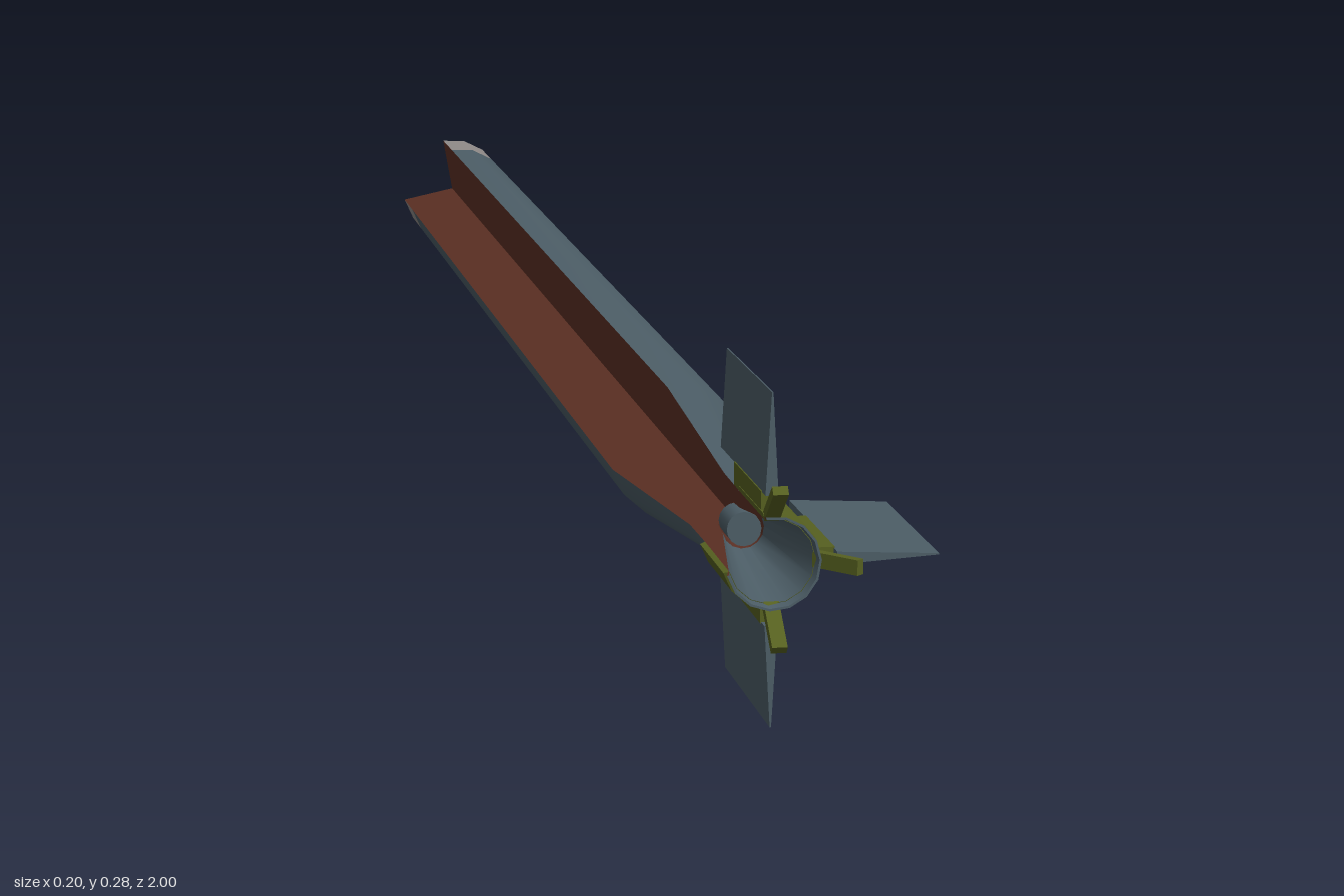
import * as THREE from 'three';
import { toCreasedNormals } from 'three/addons/utils/BufferGeometryUtils.js';

const D = Math.PI / 180;
const START = 192 * D, SWEEP = 268 * D; // solid part; the rest is cut away
const RADIUS = 0.063;

function material(name, color) {
  const m = new THREE.MeshStandardMaterial({ color, side: THREE.DoubleSide });
  m.name = name;
  return m;
}

export function createModel() {
  const slate = material('slate casing', 0x4c5d66);
  const grey = material('grey band', 0x8f8a88);
  const brown = material('brown filling', 0x5c3024);
  const olive = material('olive collar', 0x566020);

  const model = new THREE.Group();
  const motor = new THREE.Group();
  motor.name = 'cutawayMotor';
  motor.position.set(-0.0395, 0.1415, 0);
  model.add(motor);

  const add = (name, geometry, mat, parent = motor) => {
    const mesh = new THREE.Mesh(geometry, mat);
    mesh.name = name;
    parent.add(mesh);
    return mesh;
  };

  // Partial surface of revolution about z from [radius, z] points
  const revolve = (name, points, mat) => {
    const g = new THREE.LatheGeometry(points.map(p => new THREE.Vector2(...p)), 11, START + 90 * D, SWEEP);
    g.rotateX(90 * D);
    return add(name, toCreasedNormals(g, 0.5), mat);
  };

  // Flat section faces on both sides of the cut
  const cutFaces = (name, points, mat) => {
    for (const angle of [START, START + SWEEP]) {
      const g = new THREE.ShapeGeometry(new THREE.Shape(points.map(p => new THREE.Vector2(...p))));
      const pos = g.attributes.position;
      for (let i = 0; i < pos.count; i++) {
        const r = pos.getX(i), z = pos.getY(i);
        pos.setXYZ(i, r * Math.cos(angle), r * Math.sin(angle), z);
      }
      g.computeVertexNormals();
      add(name, g, mat);
    }
  };

  // Casing, rear band and end cap
  revolve('casing', [[RADIUS, -0.92], [RADIUS, 0.56], [0.037, 0.8], [0.036, 0.87]], slate);
  revolve('rearBand', [[RADIUS, -1], [RADIUS, -0.92]], grey);
  const cap = new THREE.CircleGeometry(RADIUS, 11, START, SWEEP);
  cap.rotateY(Math.PI);
  cap.scale(-1, 1, 1);
  const index = cap.index.array; // mirroring reverses the corners
  for (let i = 0; i < index.length; i += 3) [index[i], index[i + 1]] = [index[i + 1], index[i]];
  add('rearCap', cap, slate).position.z = -1;

  // Nozzle cone, lip and throat
  revolve('nozzle', [[0.036, 0.96], [0.04, 0.975], [0.038, 0.975], [0.018, 0.85]], slate);
  revolve('throat', [[0.018, 0.85], [0.016, 0.82], [0, 0.82]], brown);
  const plug = new THREE.CylinderGeometry(0.015, 0.015, 0.035, 16);
  plug.rotateX(90 * D);
  add('throatPlug', plug, slate).position.z = 0.837;

  // Exposed filling along the cut
  cutFaces('fillingSection', [
    [0, -1], [RADIUS, -1], [RADIUS, 0.56], [0.037, 0.8], [0.036, 0.87], [0.036, 0.96],
    [0.04, 0.975], [0.038, 0.975], [0.018, 0.85], [0.016, 0.82], [0, 0.82],
  ], brown);

  // Collar around the nozzle
  const collar = [[0.036, 0.862], [0.041, 0.865], [0.041, 0.964], [0.036, 0.966]];
  revolve('collar', collar, olive);
  cutFaces('collarSection', collar, olive);

  // Three fins with brackets and flared prongs; local +y points outward
  const finShape = new THREE.Shape([
    new THREE.Vector2(-0.0055, 0.055), new THREE.Vector2(0.0055, 0.055),
    new THREE.Vector2(0.0006, 0.1415), new THREE.Vector2(-0.0006, 0.1415),
  ]);
  for (const [label, angle] of [['top', 0], ['left', -90], ['bottom', 180]]) {
    const fin = new THREE.Group();
    fin.name = label + 'FinAssembly';
    fin.rotation.z = angle * D;
    motor.add(fin);
    const blade = new THREE.ExtrudeGeometry(finShape, { depth: 0.185, bevelEnabled: false });
    add('finBlade', blade, slate, fin).position.z = 0.78;
    add('finBracket', new THREE.BoxGeometry(0.013, 0.02, 0.11), olive, fin).position.set(0, 0.046, 0.897);
    const prong = add('finProng', new THREE.BoxGeometry(0.013, 0.008, 0.046), olive, fin);
    prong.position.set(0, 0.052, 0.98);
    prong.rotation.x = -0.7;
  }
  return model;
}
